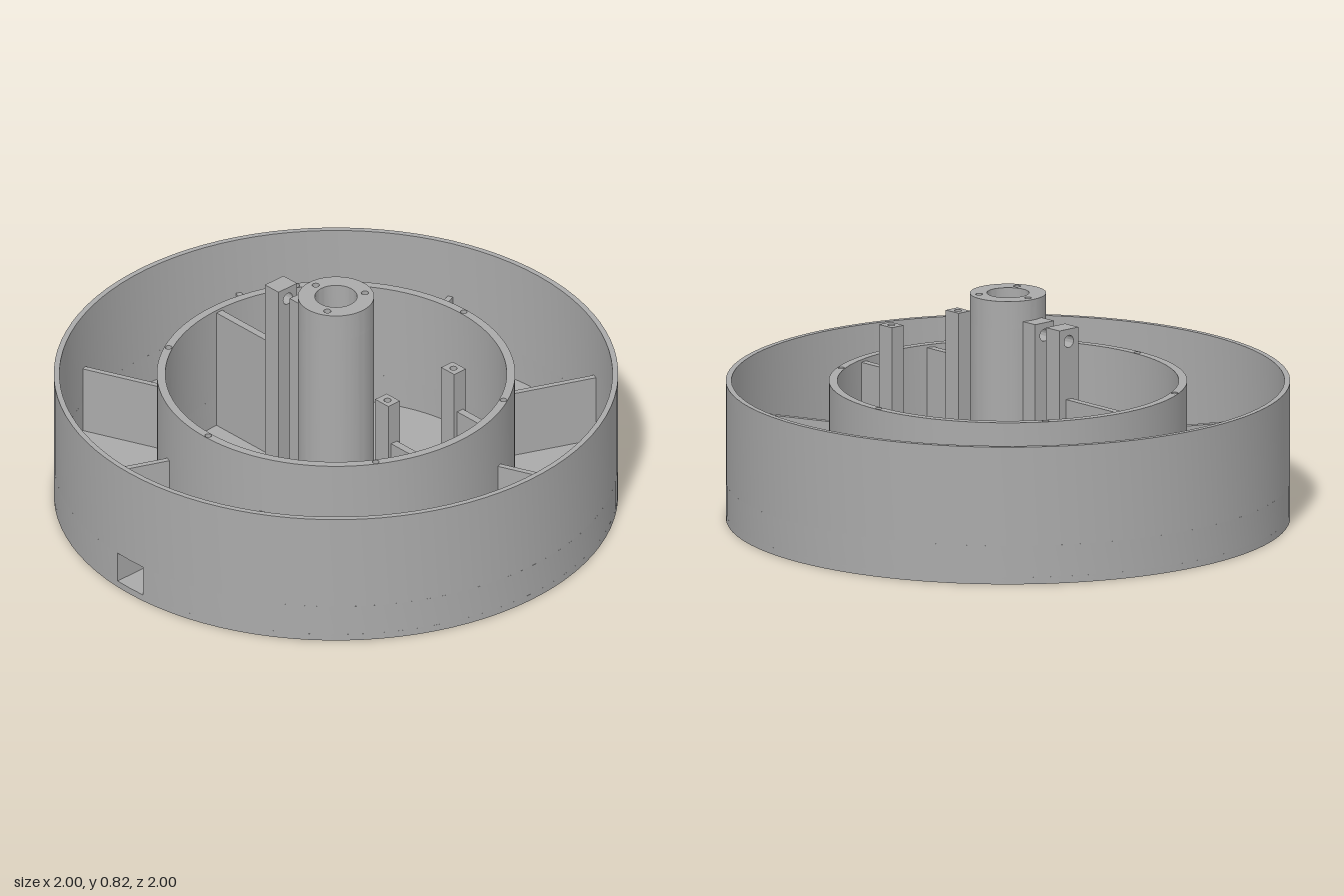
import * as THREE from 'three';
import { toCreasedNormals } from 'three/addons/utils/BufferGeometryUtils.js';

const FLOOR = 0.025, RIM = 0.5, DUCT_TOP = 0.14, DUCT_HALF = 0.066;

export function createModel() {
  const model = new THREE.Group();
  model.name = 'roundHousing';
  const grey = new THREE.MeshStandardMaterial({ color: 0xaaaaaa });
  grey.name = 'grey plastic';

  const add = (name, geometry) => {
    const mesh = new THREE.Mesh(geometry, grey);
    mesh.name = name;
    model.add(mesh);
    return mesh;
  };

  // Box given by its min and max corners
  const box = (name, x0, x1, y0, y1, z0, z1) => {
    const mesh = add(name, new THREE.BoxGeometry(x1 - x0, y1 - y0, z1 - z0));
    mesh.position.set((x0 + x1) / 2, (y0 + y1) / 2, (z0 + z1) / 2);
    return mesh;
  };

  const extrude = (shape, depth) => toCreasedNormals(
    new THREE.ExtrudeGeometry(shape, { depth, bevelEnabled: false, curveSegments: 48 }), 0.5);

  // Upright prism; shape coordinates are (x, -z)
  const prism = (name, shape, y0, y1) =>
    add(name, extrude(shape, y1 - y0).rotateX(-Math.PI / 2).translate(0, y0, 0));

  const hole = (x, y, r) => new THREE.Path().absarc(x, y, r, 0, Math.PI * 2, true);
  const disc = (r, holes = []) => {
    const s = new THREE.Shape().absarc(0, 0, r, 0, Math.PI * 2, false);
    s.holes.push(...holes);
    return s;
  };
  const rect = (x0, x1, y0, y1, holes = []) => {
    const s = new THREE.Shape().moveTo(x0, y0).lineTo(x1, y0).lineTo(x1, y1).lineTo(x0, y1).closePath();
    s.holes.push(...holes);
    return s;
  };
  const circleOfHoles = (n, radius, r, start) => Array.from({ length: n }, (_, i) => {
    const a = start + i * Math.PI * 2 / n;
    return hole(radius * Math.cos(a), radius * Math.sin(a), r);
  });

  // Ring broken by the cable opening at the front
  const openRing = (outer, inner) => {
    const a = Math.asin(DUCT_HALF / outer), b = Math.asin(DUCT_HALF / inner), q = Math.PI / 2;
    return new THREE.Shape()
      .absarc(0, 0, outer, a - q, 3 * q - a, false)
      .absarc(0, 0, inner, 3 * q - b, b - q, true)
      .closePath();
  };

  // Floor plate with four shallow foot recesses underneath
  prism('floorUnderside', disc(1, [hole(0, 0, 0.075), ...circleOfHoles(4, 0.87, 0.055, Math.PI / 4)]), 0, 0.012);
  prism('floor', disc(1, [hole(0, 0, 0.075)]), 0.012, FLOOR);

  // Outer wall and inner ring, each with the cable opening low down
  prism('outerWallLower', openRing(1, 0.98), FLOOR, DUCT_TOP);
  prism('outerWall', disc(1, [hole(0, 0, 0.98)]), DUCT_TOP, RIM);
  prism('innerRingLower', openRing(0.635, 0.605), FLOOR, DUCT_TOP);
  prism('innerRing', disc(0.635, [hole(0, 0, 0.605), ...circleOfHoles(6, 0.62, 0.012, Math.PI / 6)]), DUCT_TOP, RIM);

  // Radial ribs between the walls
  for (let i = 0; i < 8; i++) {
    const rib = add('rib', new THREE.BoxGeometry(0.36, 0.28 - FLOOR, 0.02).translate(0.805, (0.28 + FLOOR) / 2, 0));
    rib.rotation.y = Math.PI / 8 + i * Math.PI / 4;
  }

  // Cable duct from the front opening to the inner ring
  for (const s of [-1, 1]) {
    box('ductSide', s * 0.074 - 0.008, s * 0.074 + 0.008, FLOOR, DUCT_TOP, 0.626, 0.982);
  }
  box('ductRoof', -0.082, 0.082, DUCT_TOP, 0.155, 0.626, 0.982);

  // Central hollow column with three screw holes
  prism('column', disc(0.135, [hole(0, 0, 0.075)]), FLOOR, 0.72);
  prism('columnTop', disc(0.135, [hole(0, 0, 0.075), ...circleOfHoles(3, 0.105, 0.013, Math.PI)]), 0.72, 0.82);

  // Pair of tall posts with a cross hole near the top
  const crossPost = (name, x0, x1) => add(name, extrude(
    rect(-0.045, 0.045, FLOOR, 0.745, [hole(0, 0.7, 0.022)]), x1 - x0).rotateY(Math.PI / 2).translate(x0, 0, 0));
  crossPost('outerTallPost', -0.32, -0.25);
  crossPost('innerTallPost', -0.192, -0.122);
  box('tallPostWeb', -0.61, -0.319, FLOOR, 0.49, -0.014, 0.014);

  // Two short posts with screw holes, webs to the ring and a low bar between
  for (const s of [-1, 1]) {
    const z = s * 0.16;
    prism('shortPost', rect(0.404, 0.472, -z - 0.028, -z + 0.028), FLOOR, 0.55);
    prism('shortPostTop', rect(0.404, 0.472, -z - 0.028, -z + 0.028, [hole(0.438, -z, 0.013)]), 0.55, 0.65);
    box('shortPostWeb', 0.471, 0.59, FLOOR, 0.49, z - 0.014, z + 0.014);
  }
  box('shortPostBar', 0.404, 0.472, FLOOR, 0.1, -0.133, 0.133);

  return model;
}
